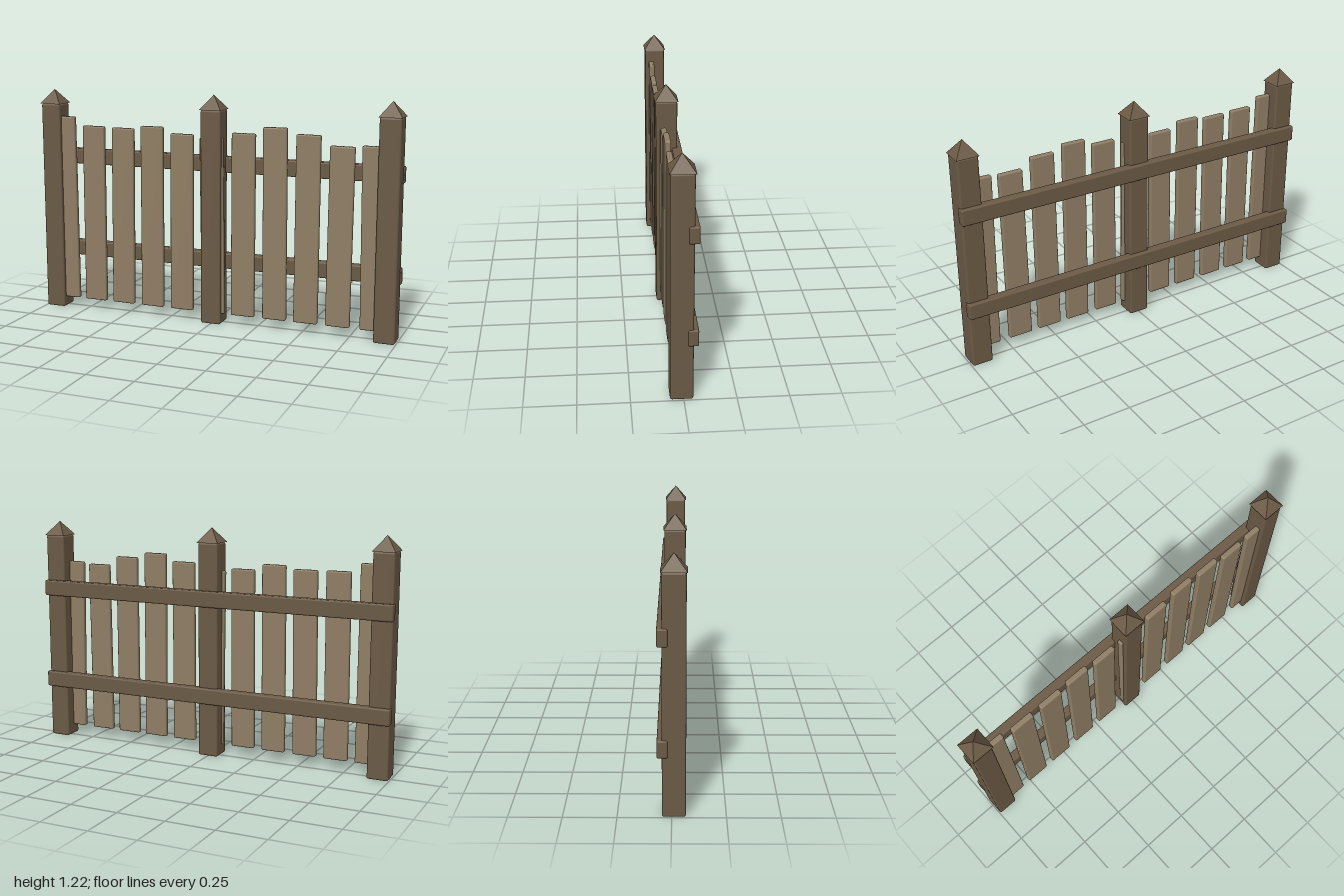
import * as THREE from 'three';
import { RoundedBoxGeometry } from 'three/addons/geometries/RoundedBoxGeometry.js';

const darkWood = new THREE.MeshStandardMaterial({ name: 'darkWood', color: 0x6b5a45 });
const lightWood = new THREE.MeshStandardMaterial({ name: 'lightWood', color: 0x907e65 });

// Plank with softly worn edges
function plank(name, w, h, d, bevel, material) {
  const mesh = new THREE.Mesh(new RoundedBoxGeometry(w, h, d, 2, bevel), material);
  mesh.name = name;
  return mesh;
}

// Four-sided pointed cap with hard edges
function capGeometry(halfWidth, height) {
  const cone = new THREE.ConeGeometry(halfWidth * Math.SQRT2, height, 4);
  cone.rotateY(Math.PI / 4);
  const flat = cone.toNonIndexed();
  flat.computeVertexNormals();
  return flat;
}

export function createModel() {
  const fence = new THREE.Group();
  fence.name = 'fence';

  // Posts with caps
  const postHeight = 1.145, capHeight = 0.077;
  for (const x of [-0.94, 0, 0.94]) {
    const post = new THREE.Group();
    post.name = 'post';
    const shaft = plank('postShaft', 0.11, postHeight, 0.11, 0.01, darkWood);
    shaft.position.y = postHeight / 2;
    const cap = new THREE.Mesh(capGeometry(0.06, capHeight), darkWood);
    cap.name = 'postCap';
    cap.position.y = postHeight + capHeight / 2;
    post.add(shaft, cap);
    post.position.set(x, 0, 0.01);
    fence.add(post);
  }

  // Two rails along the back
  for (const y of [0.332, 0.853]) {
    const rail = plank('rail', 2, 0.085, 0.05, 0.008, darkWood);
    rail.position.set(0, y, -0.043);
    fence.add(rail);
  }

  // Uneven pickets: [top height, sideways lean from bottom to top]
  const pickets = [
    [1.077, -0.005], [1.031, 0.004], [1.028, 0.01], [1.044, 0.005], [1.012, 0.006], [0.998, -0.011],
    [1.031, 0.002], [1.069, -0.004], [1.04, 0.003], [0.99, 0.008], [0.999, -0.011],
  ];
  const bottom = 0.055;
  pickets.forEach(([top, lean], i) => {
    const height = top - bottom;
    const picket = plank('picket', 0.128, height, 0.03, 0.008, lightWood);
    picket.position.set((i - 5) * 0.1736, bottom + height / 2, 0.03);
    picket.rotation.z = -lean / height;
    fence.add(picket);
  });

  return fence;
}
